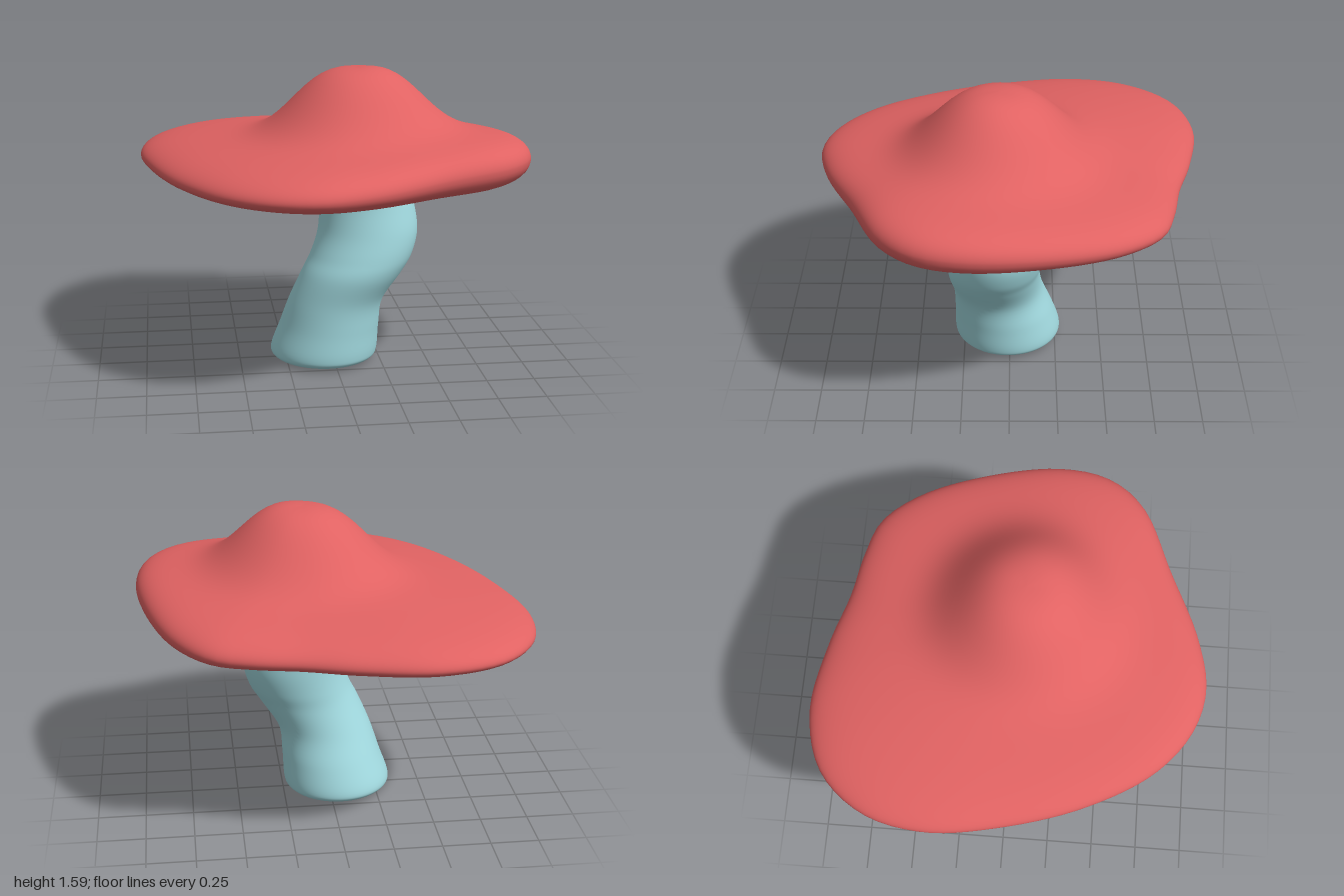
import * as THREE from 'three';

const SIDES = 96;
const red = new THREE.MeshStandardMaterial({ color: 0xe06262 });
const blue = new THREE.MeshStandardMaterial({ color: 0xa2dae0 });

// Smooth closed-around surface through rings of Vector3 (outward/downward order)
function skin(name, rings, material) {
  const n = rings[0].length;
  const index = [];
  for (let i = 0; i < rings.length - 1; i++) {
    for (let j = 0; j < n; j++) {
      const k = (j + 1) % n;
      const a = i * n + j, b = i * n + k, c = b + n, d = a + n;
      index.push(a, b, d, b, c, d);
    }
  }
  const geometry = new THREE.BufferGeometry().setFromPoints(rings.flat());
  geometry.setIndex(index);
  geometry.computeVertexNormals();
  const mesh = new THREE.Mesh(geometry, material);
  mesh.name = name;
  return mesh;
}

// Wavy rim of the cap, seen from above (x, z)
const rimCurve = new THREE.CatmullRomCurve3([
  [1, 0.18], [0.95, 0.45], [0.8, 0.63], [0.45, 0.79], [0.1, 0.945], [-0.17, 0.995],
  [-0.4, 0.93], [-0.62, 0.75], [-0.82, 0.41], [-0.95, 0], [-1, -0.37], [-0.93, -0.68],
  [-0.73, -0.91], [-0.42, -1], [-0.05, -0.945], [0.22, -0.865], [0.45, -0.82],
  [0.65, -0.75], [0.81, -0.56], [0.93, -0.25],
].map(([x, z]) => new THREE.Vector3(x, 0, z)), true);

const apex = new THREE.Vector3(0.125, 0, 0.055);
const UNDER = 1.02;

function buildCap() {
  const rim = rimCurve.getSpacedPoints(SIDES).slice(0, SIDES).map((p) => {
    const angle = Math.atan2(p.z - apex.z, p.x - apex.x);
    const raise = ((1 + Math.cos(angle - 0.5)) / 2) ** 3; // one side of the rim curls up
    return { p, lift: 0.1 * raise, edgeY: 1.07 + 0.075 * raise, inset: 0.11 + 0.1 * raise };
  });
  const at = (r, s, y) => apex.clone().lerp(r.p, s).setY(y);

  // Upper side: broad skirt plus a blunt dome, closing in a soft rim
  const rings = [];
  for (let i = 0; i <= 40; i++) {
    const s = Math.sin((i / 40) * Math.PI / 2);
    rings.push(rim.map((r) => {
      const v = at(r, s, 0);
      const dome = 0.3 * Math.exp(-((v.distanceTo(apex) / 0.385) ** 3));
      const top = 1.285 - 0.14 * s ** 1.6 + r.lift * s + dome;
      return v.setY(r.edgeY + (top - r.edgeY) * Math.sqrt(Math.max(0, 1 - s ** 14)));
    }));
  }
  // Rim rolling under
  for (let i = 1; i <= 10; i++) {
    const b = (i / 10) * Math.PI / 2;
    rings.push(rim.map((r) => at(r, 1 - r.inset * (1 - Math.cos(b)),
      r.edgeY - (r.edgeY - UNDER) * Math.sin(b))));
  }
  // Underside, rising slightly towards the stem
  const gills = [1, 0.75, 0.5, 0.25, 0].map((k) =>
    rim.map((r) => at(r, (1 - r.inset) * k, UNDER + 0.04 * (1 - k * k))));
  return [skin('cap', rings, red), skin('capUnderside', gills, blue)];
}

// Stem sections from top to bottom: y, x min, x max, z min, z max
const sections = [
  [1.06, -0.24, 0.5, -0.33, 0.41], [1.035, -0.14, 0.41, -0.23, 0.31],
  [0.99, -0.1, 0.395, -0.195, 0.275],
  [0.93, -0.075, 0.41, -0.19, 0.265], [0.85, -0.07, 0.435, -0.185, 0.27],
  [0.72, -0.08, 0.45, -0.18, 0.295], [0.6, -0.12, 0.42, -0.168, 0.32],
  [0.5, -0.17, 0.36, -0.16, 0.33], [0.35, -0.235, 0.265, -0.18, 0.305],
  [0.2, -0.285, 0.248, -0.235, 0.3], [0.07, -0.33, 0.242, -0.275, 0.302],
  [0.025, -0.315, 0.225, -0.262, 0.285], [0, -0.25, 0.17, -0.2, 0.22],
];

function buildStem() {
  const spline = (a, b) => new THREE.CatmullRomCurve3(
    sections.map((s) => new THREE.Vector3(s[a], s[0], s[b])), false, 'catmullrom', 0.5);
  const xs = spline(1, 2), zs = spline(3, 4);
  const ring = (t, scale) => {
    const x = xs.getPoint(t), z = zs.getPoint(t);
    return Array.from({ length: SIDES }, (_, j) => {
      const a = (j / SIDES) * Math.PI * 2;
      return new THREE.Vector3(
        (x.x + x.z) / 2 + scale * Math.cos(a) * (x.z - x.x) / 2,
        Math.max(0, x.y),
        (z.x + z.z) / 2 + scale * Math.sin(a) * (z.z - z.x) / 2);
    });
  };
  const rings = [];
  for (let i = 0; i <= 72; i++) rings.push(ring(i / 72, 1));
  rings.push(ring(1, 0.93), ring(1, 0)); // flat foot
  return skin('stem', rings, blue);
}

export function createModel() {
  const mushroom = new THREE.Group();
  mushroom.name = 'mushroom';
  mushroom.add(...buildCap(), buildStem());
  return mushroom;
}
